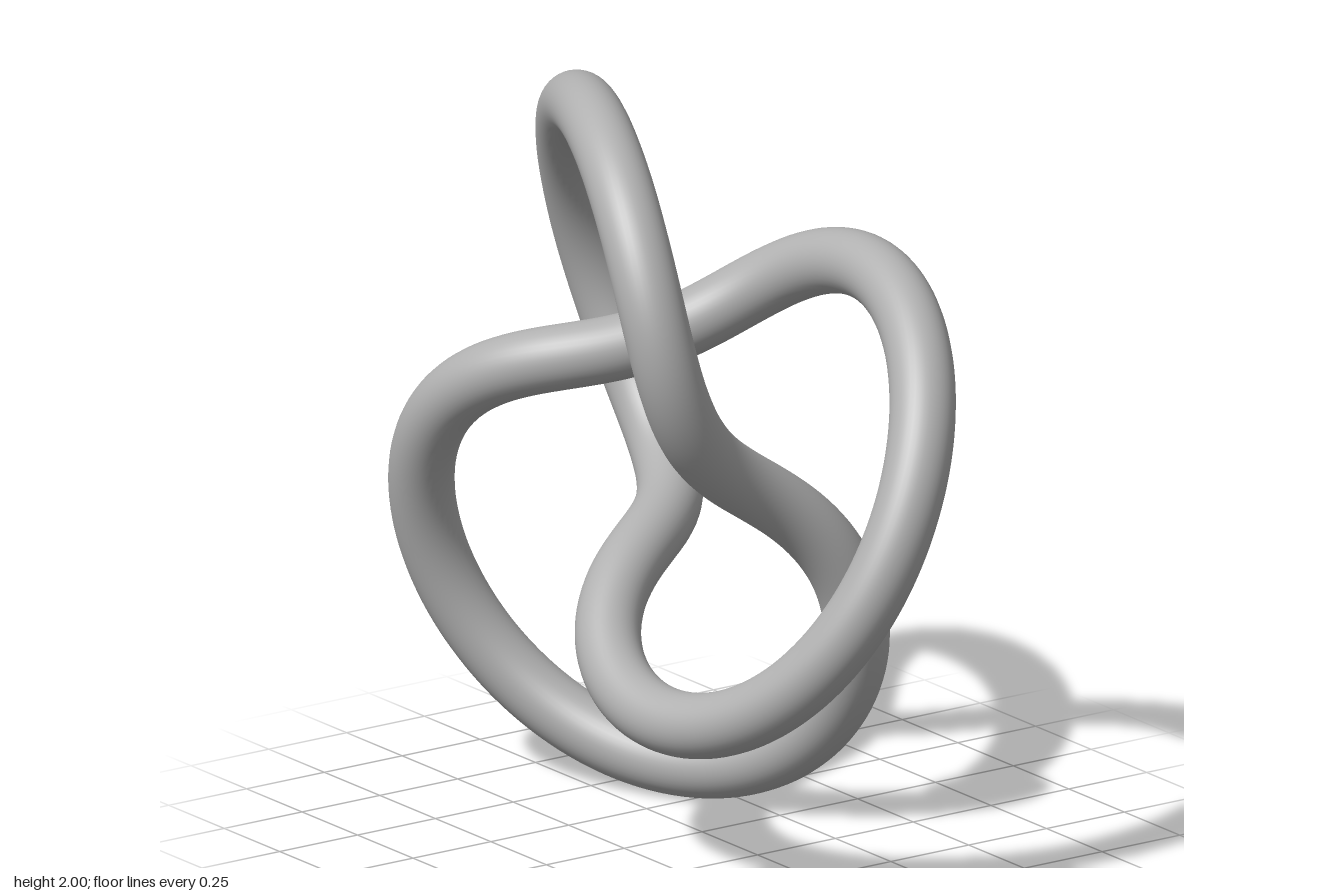
import * as THREE from 'three';

// Three-lobed knot path: two turns around z with three waves in radius and depth
class KnotCurve extends THREE.Curve {
  constructor(scale) {
    super();
    this.scale = scale;
  }
  getPoint(t, target = new THREE.Vector3()) {
    const u = t * Math.PI * 4;
    const r = this.scale * (2 + Math.cos(1.5 * u));
    return target.set(r * Math.cos(u), r * Math.sin(u), -this.scale * Math.sin(1.5 * u));
  }
}

export function createModel() {
  const group = new THREE.Group();
  group.name = 'trefoilKnot';

  const grey = new THREE.MeshStandardMaterial({ color: 0xb0b0b0 });
  grey.name = 'grey';

  // Closed round tube swept along the knot
  const geometry = new THREE.TubeGeometry(new KnotCurve(0.3228), 400, 0.087, 40, true);
  const tube = new THREE.Mesh(geometry, grey);
  tube.name = 'knotTube';
  tube.position.set(-0.1025, 1, 0);
  group.add(tube);

  return group;
}
